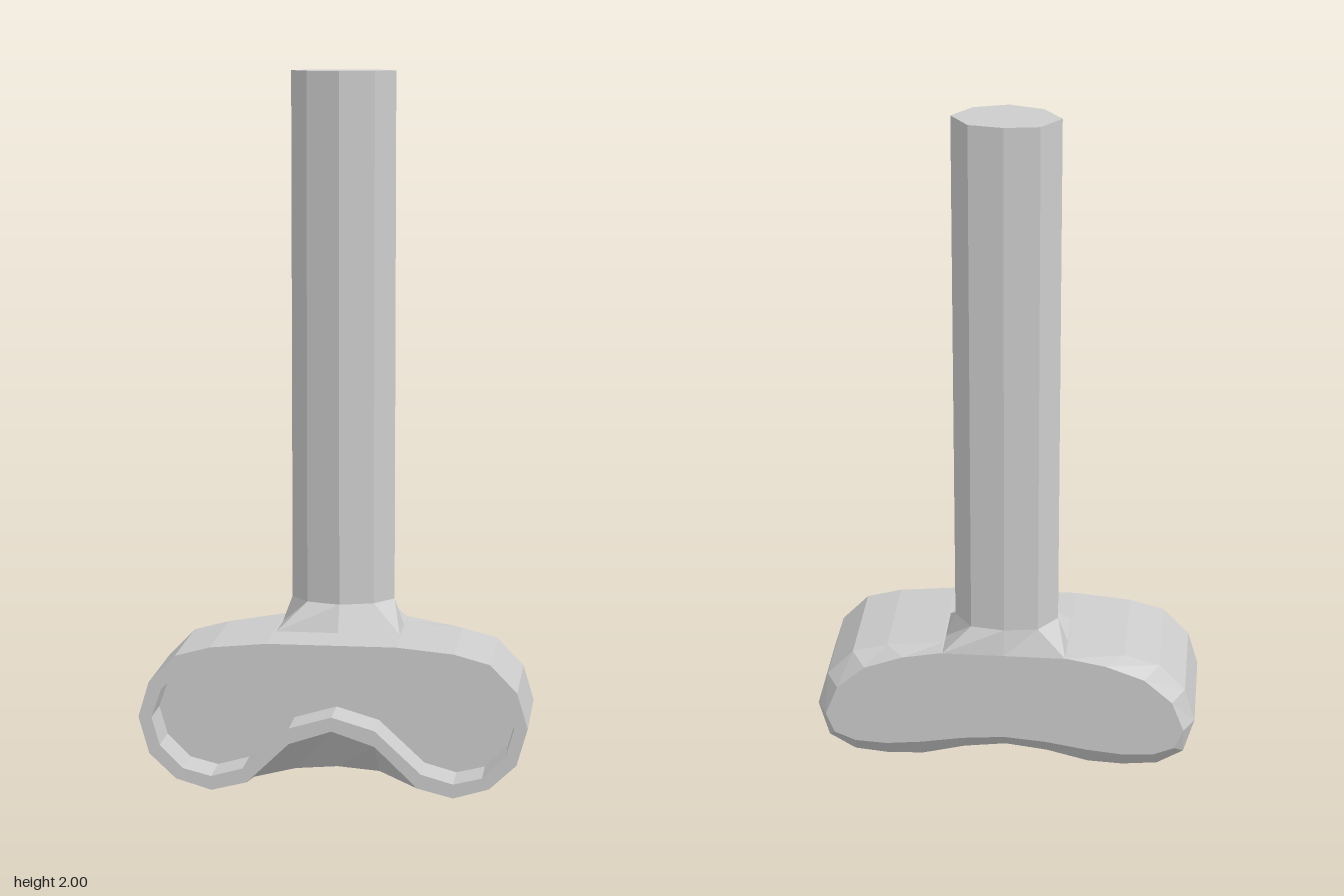
import * as THREE from 'three';

const gray = new THREE.MeshStandardMaterial({ color: 0xcccccc });
gray.name = 'plain gray';

// Mirror a half outline (top centre -> +x side -> bottom centre) into a closed ring at depth z
function mirrored(half, z) {
  const other = half.slice(1, -1).reverse().map(([x, y]) => [-x, y]);
  return [...half, ...other].map(([x, y]) => new THREE.Vector3(x, y, z));
}

// Horizontal ring at height y
const level = (points, y) => points.map(([x, z]) => new THREE.Vector3(x, y, z));

// Flat end face over a ring, turned toward the given normal
function cap(ring, normal) {
  const flat = ring.map(p => new THREE.Vector2(p.x, normal.z ? p.y : p.z));
  return THREE.ShapeUtils.triangulateShape(flat, []).flatMap(([i, j, k]) => {
    const [a, b, c] = [ring[i], ring[j], ring[k]];
    const n = b.clone().sub(a).cross(c.clone().sub(a));
    return n.dot(normal) > 0 ? [a, b, c] : [a, c, b];
  });
}

// Skin consecutive rings with faceted quads
function loft(rings) {
  const tris = [];
  for (let r = 0; r < rings.length - 1; r++) {
    const n = rings[r].length;
    for (let i = 0; i < n; i++) {
      const j = (i + 1) % n;
      const [a, b, c, d] = [rings[r][i], rings[r][j], rings[r + 1][j], rings[r + 1][i]];
      tris.push(a, b, c, a, c, d);
    }
  }
  return tris;
}

function part(name, points) {
  const geometry = new THREE.BufferGeometry().setFromPoints(points);
  geometry.computeVertexNormals();
  const mesh = new THREE.Mesh(geometry, gray);
  mesh.name = name;
  return mesh;
}

export function createModel() {
  const group = new THREE.Group();
  group.name = 'hollow head on a pole';

  // Head: bean-shaped outlines from the front rim to the back
  const upper = [[0, 0.43], [0.18, 0.43], [0.34, 0.415], [0.44, 0.388], [0.515, 0.31], [0.545, 0.21], [0.515, 0.105]];
  const rim = [...upper, [0.44, 0.035], [0.34, 0.005], [0.24, 0.03], [0.12, 0.145], [0, 0.185]];
  const belly = [...upper, [0.44, 0.035], [0.34, 0], [0.24, 0.005], [0.12, 0.035], [0, 0.045]];
  const shoulder = [...upper, [0.44, 0.06], [0.34, 0.05], [0.24, 0.055], [0.12, 0.085], [0, 0.1]];
  const back = [[0, 0.43], [0.18, 0.43], [0.29, 0.41], [0.4, 0.37], [0.48, 0.3], [0.515, 0.21],
    [0.49, 0.15], [0.43, 0.125], [0.34, 0.12], [0.24, 0.13], [0.12, 0.15], [0, 0.16]];
  const inner = [[0, 0.39], [0.18, 0.393], [0.33, 0.387], [0.42, 0.355], [0.48, 0.29], [0.508, 0.21],
    [0.485, 0.13], [0.42, 0.065], [0.34, 0.045], [0.25, 0.07], [0.12, 0.19], [0, 0.225]];

  const floor = mirrored(inner, 0.07);
  const end = mirrored(back, -0.19);
  group.add(part('head', [
    ...cap(floor, new THREE.Vector3(0, 0, 1)),
    ...loft([floor, mirrored(inner, 0.19), mirrored(rim, 0.19), mirrored(belly, 0.05),
      mirrored(shoulder, -0.13), end]),
    ...cap(end, new THREE.Vector3(0, 0, -1)),
  ]));

  // Neck: rectangle blending up into the eight-sided pole
  const base = [[0, 0.04], [0.175, 0.04], [0.175, -0.09], [0.175, -0.19],
    [0, -0.19], [-0.175, -0.19], [-0.175, -0.09], [-0.175, 0.04]];
  const octagon = [[0, 0.01], [0.095, -0.02], [0.147, -0.09], [0.095, -0.16],
    [0, -0.175], [-0.095, -0.16], [-0.147, -0.09], [-0.095, -0.02]];
  group.add(part('neck', loft([level(base, 0.43), level(octagon, 0.505)])));

  // Pole
  const top = level(octagon, 2);
  group.add(part('pole', [
    ...loft([level(octagon, 0.505), top]),
    ...cap(top, new THREE.Vector3(0, 1, 0)),
  ]));

  return group;
}
